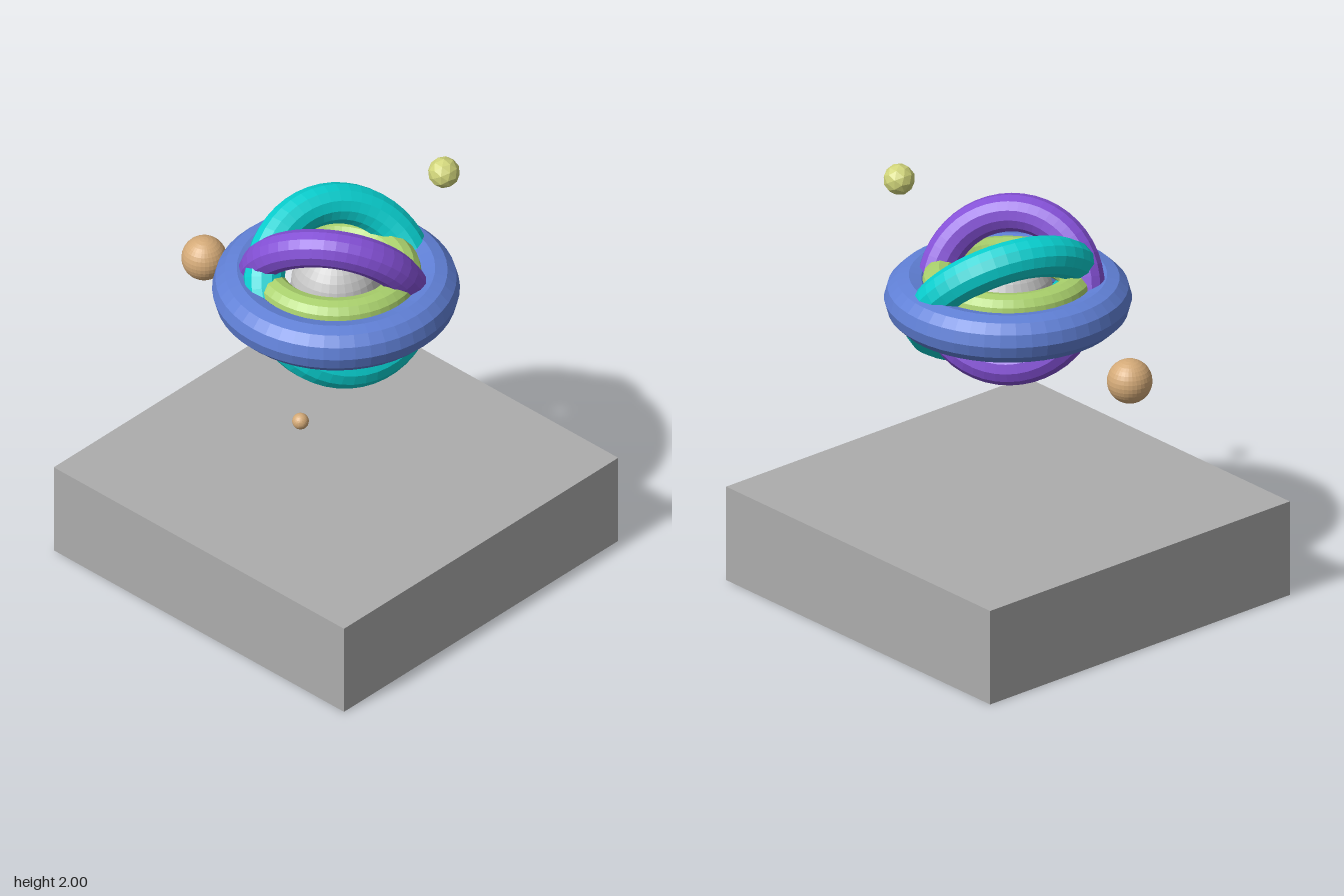
import * as THREE from 'three';

const flat = (name, color) => {
  const m = new THREE.MeshStandardMaterial({ color, flatShading: true });
  m.name = name;
  return m;
};

export function createModel() {
  const group = new THREE.Group();
  group.name = 'ringedOrbModel';

  const mat = {
    stone: flat('stoneGrey', 0xadadad),
    orb: flat('paleGrey', 0xc4c4c4),
    blue: flat('blue', 0x6080d6),
    green: flat('green', 0xa9d06c),
    purple: flat('purple', 0x8450d6),
    teal: flat('teal', 0x08cfcf),
    tan: flat('tan', 0xd4aa78),
    yellow: flat('yellow', 0xd0d47a),
  };

  const add = (name, geometry, material, position) => {
    const mesh = new THREE.Mesh(geometry, material);
    mesh.name = name;
    mesh.position.set(...position);
    group.add(mesh);
    return mesh;
  };

  // Base block
  add('baseBlock', new THREE.BoxGeometry(1.71, 0.44, 1.71), mat.stone, [0, 0.22, 0]);

  // Rings: the tube radius is a quarter of the ring radius, axis gives the tilt
  const zAxis = new THREE.Vector3(0, 0, 1);
  const ring = (name, material, radius, position, axis) => {
    const mesh = add(name, new THREE.TorusGeometry(radius, radius / 4, 12, 48), material, position);
    mesh.quaternion.setFromUnitVectors(zAxis, new THREE.Vector3(...axis).normalize());
  };
  ring('outerRing', mat.blue, 0.425, [0, 1.368, 0], [0, 1, 0]);
  ring('innerRing', mat.green, 0.296, [0, 1.44, 0], [0, 1, 0]);
  ring('purpleTiltedRing', mat.purple, 0.331, [0, 1.4, 0.015], [0.5, -0.47, 0.73]);
  ring('tealTiltedRing', mat.teal, 0.356, [0.005, 1.368, -0.025], [0.749, 0.623, 0.235]);

  // Central orb and the small floating balls
  const ball = (name, material, radius, position) =>
    add(name, new THREE.SphereGeometry(radius, 32, 16), material, position);
  ball('centralOrb', mat.orb, 0.195, [0, 1.39, 0]);
  ball('largeMoon', mat.tan, 0.098, [-0.718, 1.2, 0.062]);
  ball('smallMoon', mat.tan, 0.036, [0.403, 1.205, 0.648]);
  add('facetedMoon', new THREE.IcosahedronGeometry(0.069, 1), mat.yellow, [0.292, 1.932, -0.364]);

  return group;
}
